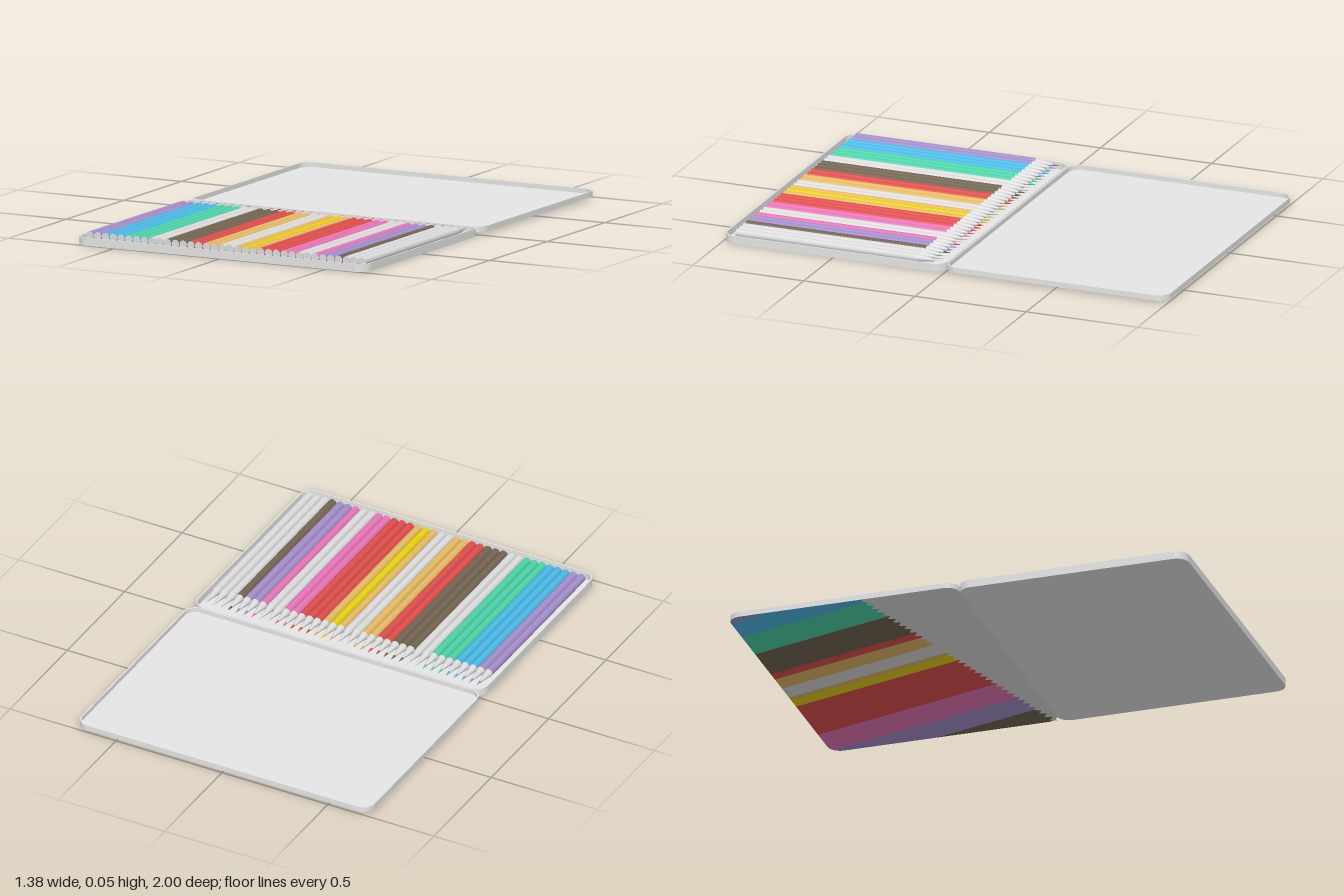
import * as THREE from 'three';

const mat = (name, color) => {
  const m = new THREE.MeshStandardMaterial({ color });
  m.name = name;
  return m;
};

// Rounded rectangle outline centred on the origin
function roundedRect(target, w, d, r) {
  const x = w / 2, y = d / 2, q = Math.PI / 2;
  target.moveTo(x, -y + r);
  target.absarc(x - r, y - r, r, 0, q);
  target.absarc(-x + r, y - r, r, q, 2 * q);
  target.absarc(-x + r, -y + r, r, 2 * q, 3 * q);
  target.absarc(x - r, -y + r, r, 3 * q, 4 * q);
  return target;
}

// Shallow tin: a thin rounded wall with a floor plate inside
function tin(name, { w, d, r, wall, y0, y1, z }, material) {
  const group = new THREE.Group();
  group.name = name;
  const slab = (part, shape, depth) => {
    const geo = new THREE.ExtrudeGeometry(shape, { depth, bevelEnabled: false, curveSegments: 8 });
    geo.rotateX(-Math.PI / 2);
    const mesh = new THREE.Mesh(geo, material);
    mesh.name = part;
    mesh.position.set(0, y0, z);
    group.add(mesh);
  };
  const inner = [w - 2 * wall, d - 2 * wall, r - wall];
  const ring = roundedRect(new THREE.Shape(), w, d, r);
  ring.holes.push(roundedRect(new THREE.Path(), ...inner));
  slab(name + 'Wall', ring, y1 - y0);
  slab(name + 'Floor', roundedRect(new THREE.Shape(), ...inner), 0.003);
  return group;
}

// Keep the part of a polygon where side(point) >= 0
function clip(points, side) {
  const out = [];
  points.forEach((a, i) => {
    const b = points[(i + 1) % points.length];
    const sa = side(a), sb = side(b);
    if (sa >= 0) out.push(a);
    if (sa * sb < 0) out.push(a.clone().lerp(b, sa / (sa - sb)));
  });
  return out;
}

// Slanted pencil picture on the lid's outer face, which looks down
function lidPicture(paint, lid) {
  const group = new THREE.Group();
  group.name = 'lidPicture';
  const slant = 0.275, c = Math.cos(slant), s = Math.sin(slant);
  const across = (p) => -c * p.x - s * p.y;
  const along = (p) => s * p.x - c * p.y;
  const point = (u, v) => new THREE.Vector2(-c * u + s * v, -s * u - c * v);

  const outline = roundedRect(new THREE.Shape(), lid.w, lid.d, lid.r).getPoints(8)
    .map((p) => new THREE.Vector2(p.x, p.y + lid.z));
  const plate = (name, points, y, material) => {
    if (points.length < 3) return;
    const geo = new THREE.ShapeGeometry(new THREE.Shape(points));
    geo.rotateX(Math.PI / 2);
    const mesh = new THREE.Mesh(geo, material);
    mesh.name = name;
    mesh.position.y = y;
    group.add(mesh);
  };
  const inLid = (points) => {
    let p = clip(points, (q) => lid.w / 2 - q.x);
    p = clip(p, (q) => lid.w / 2 + q.x);
    return clip(p, (q) => -q.y);
  };

  plate('pictureBase', outline, lid.y0 - 0.0003, paint.s);

  // Colour bands: key and the place across the lid where each ends
  const tips = 0.2;
  const bands = [['n', -0.52], ['u', -0.38], ['p', -0.22], ['r', 0.06], ['y', 0.12], ['t', 0.15],
    ['s', 0.24], ['t', 0.33], ['r', 0.38], ['n', 0.58], ['g', 0.75], ['b', 0.89], ['u', 1]];
  let start = -0.7;
  for (const [key, end] of bands) {
    const u0 = start;
    let p = clip(outline, (q) => across(q) - u0);
    p = clip(p, (q) => end - across(q));
    plate('pictureBand', clip(p, (q) => along(q) - tips), lid.y0 - 0.0006, paint[key]);
    start = end;
  }

  // Sharpened ends notch the bands
  const step = 0.04;
  for (let u = -0.66; u < 0.8; u += step) {
    const tooth = [point(u, tips - 0.002), point(u + step, tips - 0.002), point(u + step / 2, tips + 0.025)];
    plate('pictureTip', inLid(tooth), lid.y0 - 0.0009, paint.s);
  }
  return group;
}

export function createModel() {
  const model = new THREE.Group();
  model.name = 'pencilTin';

  const metal = mat('metal', 0xe5e5e5);
  const silver = mat('silver', 0xdcdcdc);
  const paint = {
    s: silver,
    u: mat('purple', 0xa48eca),
    b: mat('blue', 0x4cbbe9),
    g: mat('green', 0x4cd3a8),
    n: mat('brown', 0x736552),
    r: mat('red', 0xdf4e4c),
    t: mat('tan', 0xe6ba63),
    y: mat('yellow', 0xe9d40e),
    p: mat('pink', 0xe775b6),
  };

  // Tray and opened lid
  const lid = { w: 1.384, d: 1, r: 0.055, wall: 0.006, y0: 0.01, y1: 0.033, z: -0.5 };
  model.add(tin('tray', { w: 1.372, d: 0.998, r: 0.055, wall: 0.006, y0: 0, y1: 0.034, z: 0.501 }, metal));
  model.add(tin('lid', lid, metal));
  model.add(lidPicture(paint, lid));

  // Row of pencils, from the model's right to its left
  const row = 'uubbbgggssnnnrrttsstytrrrppsspuunsss';
  const pitch = 0.0367, radius = 0.0178, axisY = 0.0342;
  const tipZ = 0.035, leadZ = 0.065, bodyZ = 0.14, endZ = 0.95;

  // Round section along z, from z0 (radius r0) to z1 (radius r1)
  const section = (r0, r1, z0, z1, open) => {
    const geo = new THREE.CylinderGeometry(r1, r0, z1 - z0, 16, 1, open);
    geo.rotateX(Math.PI / 2);
    geo.translate(0, 0, (z0 + z1) / 2);
    return geo;
  };
  const leadRadius = radius * (leadZ - tipZ) / (bodyZ - tipZ);
  const bodyGeo = section(radius, radius, bodyZ, endZ, false);
  const woodGeo = section(leadRadius, radius, leadZ, bodyZ, true);
  const leadGeo = section(0.0005, leadRadius, tipZ, leadZ, true);

  [...row].forEach((key, i) => {
    const color = paint[key];
    const pencil = new THREE.Group();
    pencil.name = 'pencil';
    const parts = [
      ['pencilBody', bodyGeo, [color, silver, silver]],
      ['pencilWood', woodGeo, silver],
      ['pencilLead', leadGeo, color],
    ];
    for (const [name, geo, material] of parts) {
      const mesh = new THREE.Mesh(geo, material);
      mesh.name = name;
      pencil.add(mesh);
    }
    pencil.position.set((i - (row.length - 1) / 2) * pitch, axisY, 0);
    model.add(pencil);
  });

  return model;
}
